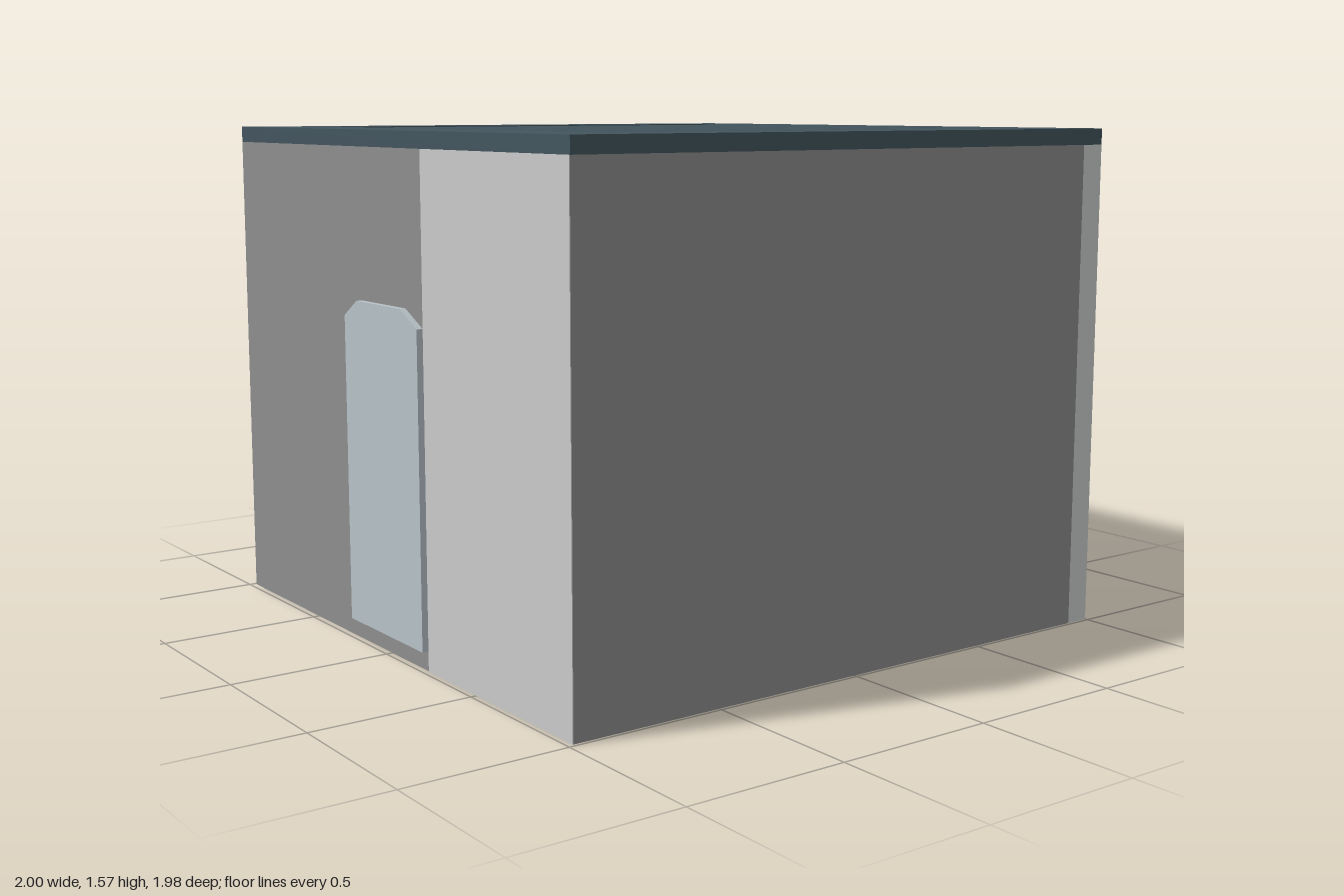
import * as THREE from 'three';

const mat = (color, extra = {}) => {
  const m = new THREE.MeshStandardMaterial({ color });
  return Object.assign(m, extra);
};

export function createModel() {
  const root = new THREE.Group();
  const grey = mat(0x8e8e8e);
  const pale = mat(0xccd2cf);
  const lightGrey = mat(0xc1c1c1);
  const stone = mat(0xb0b0b0, { flatShading: true });
  const slate = mat(0x44565f);
  const doorMat = mat(0xb8c3c7);
  const spikeMat = mat(0xccd2cf, { flatShading: true });

  const add = (name, geometry, material, parent = root) => {
    const mesh = new THREE.Mesh(geometry, material);
    mesh.name = name;
    parent.add(mesh);
    return mesh;
  };
  // Box given by its lower and upper corners
  const box = (name, a, b, material) => {
    const g = new THREE.BoxGeometry(b[0] - a[0], b[1] - a[1], b[2] - a[2]);
    g.translate((a[0] + b[0]) / 2, (a[1] + b[1]) / 2, (a[2] + b[2]) / 2);
    return add(name, g, material);
  };

  // Walls
  const H = 1.52;
  box('frontWall', [-0.98, 0, 0.91], [0.92, H, 0.99], grey);
  box('backWall', [-0.98, 0, -0.99], [0.92, H, -0.91], grey);
  box('leftWall', [0.92, 0, -0.99], [1, H, 0.99], pale);
  box('rightWall', [-0.98, 0, -0.91], [-0.9, H, 0.91], grey);
  box('rightWallPanel', [-0.983, 0, 0.23], [-0.98, H, 0.99], lightGrey);

  // Door slab with clipped top corners on the right wall
  const doorShape = new THREE.Shape([
    [-0.22, 0.06], [0.23, 0.06], [0.23, 1.01], [0.13, 1.06], [-0.14, 1.06], [-0.22, 1.01],
  ].map(([x, y]) => new THREE.Vector2(x, y)));
  const doorGeo = new THREE.ExtrudeGeometry(doorShape, { depth: 0.02, bevelEnabled: false });
  doorGeo.rotateY(-Math.PI / 2); // shape x becomes z, depth goes to -x
  doorGeo.scale(1, 1, 1);
  doorGeo.rotateY(0);
  const door = add('door', doorGeo, doorMat);
  door.position.set(-0.98, 0, -0.005);

  // Floor slab and bevelled tiles
  box('floorSlab', [-0.9, 0.002, -0.91], [0.92, 0.06, 0.91], stone);
  const tiles = new THREE.Group();
  tiles.name = 'floorTiles';
  root.add(tiles);
  const pitch = 1.82 / 8;
  const tileGeo = new THREE.CylinderGeometry(0.07 * Math.SQRT2, (pitch / 2) * Math.SQRT2, 0.04, 4);
  tileGeo.rotateY(Math.PI / 4);
  for (let i = 0; i < 8; i++) {
    for (let j = 0; j < 8; j++) {
      add('floorTile', tileGeo, stone, tiles)
        .position.set(-0.9 + (i + 0.5) * pitch, 0.08, -0.91 + (j + 0.5) * pitch);
    }
  }

  // Roof frame with its rectangular opening
  const rect = (Type, x0, y0, x1, y1) => new Type([
    new THREE.Vector2(x0, y0), new THREE.Vector2(x1, y0),
    new THREE.Vector2(x1, y1), new THREE.Vector2(x0, y1),
  ]);
  const frame = rect(THREE.Shape, -0.98, -0.99, 1, 0.99);
  frame.holes.push(rect(THREE.Path, -0.72, -0.84, 0.85, 0.81));
  const frameGeo = new THREE.ExtrudeGeometry(frame, { depth: 0.05, bevelEnabled: false });
  frameGeo.rotateX(-Math.PI / 2);
  add('roofFrame', frameGeo, slate).position.y = H;

  // Grille bars across the opening
  const barGeo = new THREE.CylinderGeometry(0.024, 0.024, 1.57, 12);
  barGeo.rotateZ(Math.PI / 2);
  for (let i = 0; i < 8; i++) {
    add('grilleBar', barGeo, slate).position.set(0.065, 1.545, -0.63 + i * 0.1915);
  }

  // Spikes scattered over the inner faces of the front and back walls
  let seed = 7;
  const rand = () => (seed = (seed * 16807) % 2147483647) / 2147483647;
  const spikeGeo = new THREE.ConeGeometry(0.035, 0.17, 8);
  spikeGeo.translate(0, 0.085, 0);
  spikeGeo.rotateX(Math.PI / 2); // tip towards +z
  for (const side of [-1, 1]) {
    const spikes = new THREE.Group();
    spikes.name = side < 0 ? 'backSpikes' : 'frontSpikes';
    root.add(spikes);
    for (let row = 0; row < 5; row++) {
      for (let col = 0; col < 7; col++) {
        const s = add('spike', spikeGeo, spikeMat, spikes);
        s.position.set(-0.76 + col * 0.257 + (rand() - 0.5) * 0.2,
          0.26 + row * 0.25 + (rand() - 0.5) * 0.14, side * 0.91);
        if (side > 0) s.rotation.y = Math.PI;
      }
    }
  }
  return root;
}
